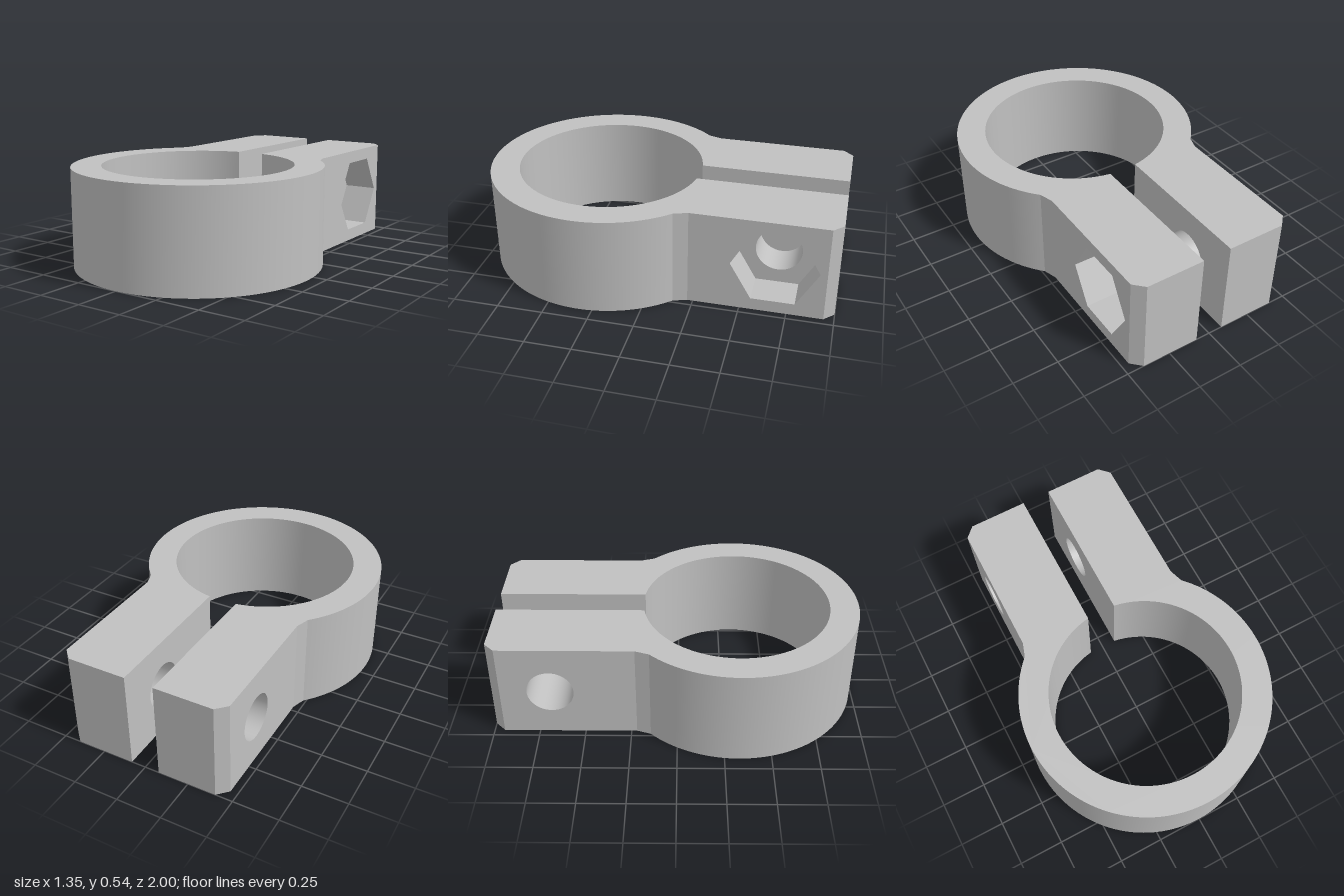
import * as THREE from 'three';

const H = 0.54;                                  // clamp height
const RING = { s: -0.325, outer: 0.675, inner: 0.515 };
const BOLT = { s: 0.675, h: H / 2, r: 0.125, hex: 0.233 };
const GAP = 0.08, SIDE = 0.46, FLOOR = 0.27;     // x of arm faces and nut pocket floor

// Plan coordinates are (x, s), where s points to the back (s = -z).
const v = (x, s) => new THREE.Vector2(x, s);
const mirror = pts => pts.map(p => v(-p.x, p.y)).reverse();

// Ring arc around the front, from x = -endX to x = +endX
function ringArc(r, endX, n) {
  const a = Math.acos(endX / r);
  const pts = [];
  for (let i = 0; i <= n; i++) {
    const t = Math.PI - a + (Math.PI + 2 * a) * i / n;
    pts.push(v(r * Math.cos(t), RING.s + r * Math.sin(t)));
  }
  return pts;
}

function polygon(r, n) {
  return Array.from({ length: n }, (_, i) => {
    const t = i / n * Math.PI * 2;
    return v(BOLT.s + r * Math.cos(t), BOLT.h + r * Math.sin(t));
  });
}

// Turns a surface inside out
function flip(g) {
  const idx = g.index.array;
  for (let i = 0; i < idx.length; i += 3) [idx[i], idx[i + 1]] = [idx[i + 1], idx[i]];
  g.computeVertexNormals();
  return g;
}

// Upright wall along a plan path, smooth along its length
function wall(pts) {
  const pos = [], index = [];
  pts.forEach((p, i) => {
    pos.push(p.x, 0, -p.y, p.x, H, -p.y);
    if (i) {
      const a = 2 * i - 2;
      index.push(a, a + 2, a + 3, a, a + 3, a + 1);
    }
  });
  const g = new THREE.BufferGeometry();
  g.setAttribute('position', new THREE.Float32BufferAttribute(pos, 3));
  g.setIndex(index);
  g.computeVertexNormals();
  return g;
}

// Flat face at a given x, pierced by a hole and facing +x or -x
function piercedFace(x, outline, hole, dir) {
  const shape = new THREE.Shape(outline);
  shape.holes.push(new THREE.Path(hole));
  const g = new THREE.ShapeGeometry(shape).rotateY(Math.PI / 2).translate(x, 0, 0);
  return dir < 0 ? flip(g) : g;
}

// Inside surface of a bore running along x
function bore(r, n, x0, x1) {
  const g = new THREE.CylinderGeometry(r, r, x1 - x0, n, 1, true)
    .rotateZ(Math.PI / 2).translate((x0 + x1) / 2, BOLT.h, -BOLT.s);
  const normals = g.attributes.normal;
  flip(g);
  if (n > 6) {
    // keep the seam of a round bore smooth
    for (let i = 0; i < normals.count; i++) {
      const p = g.attributes.position;
      g.attributes.normal.setXYZ(i, 0, (BOLT.h - p.getY(i)) / r, (-BOLT.s - p.getZ(i)) / r);
    }
    return g;
  }
  const flat = g.toNonIndexed();
  flat.computeVertexNormals();
  return flat;
}

export function createModel() {
  const group = new THREE.Group();
  const metal = new THREE.MeshStandardMaterial({ color: 0xc0c0c0 });
  metal.name = 'grey metal';
  const add = (name, g) => {
    const m = new THREE.Mesh(g, metal);
    m.name = name;
    group.add(m);
  };

  // Plan outline pieces
  const outer = ringArc(RING.outer, 0.485, 96);
  const inner = ringArc(RING.inner, GAP, 96).reverse();
  const neck = [outer[outer.length - 1], v(SIDE, 0.22)];
  const chamfer = [v(SIDE, 0.945), v(0.405, 1)];
  const tip = [v(0.405, 1), v(GAP, 1)];
  const half = [neck[1], ...chamfer, tip[1]];

  // Top and bottom
  const plan = new THREE.Shape([...outer, ...half, ...inner, ...mirror(half)]);
  const cap = () => new THREE.ShapeGeometry(plan).rotateX(-Math.PI / 2);
  add('topFace', cap().translate(0, H, 0));
  add('bottomFace', flip(cap()));

  // Ring walls and arm ends
  add('ringOutside', wall(outer));
  add('ringInside', wall(inner));
  for (const [name, path] of Object.entries({ neck, armChamfer: chamfer, armTip: tip })) {
    add(name + 'Left', wall(path));
    add(name + 'Right', wall(mirror(path)));
  }

  // Arm side faces with bolt hole and nut pocket
  const rect = (s0, s1) => [v(s0, 0), v(s1, 0), v(s1, H), v(s0, H)];
  const round = polygon(BOLT.r, 48), hex = polygon(BOLT.hex, 6);
  const gapFace = rect(inner[0].y, 1), sideFace = rect(0.22, 0.945);
  add('leftArmOutside', piercedFace(SIDE, sideFace, hex, 1));
  add('nutPocketFloor', piercedFace(FLOOR, hex, round, 1));
  add('leftArmInside', piercedFace(GAP, gapFace, round, -1));
  add('rightArmInside', piercedFace(-GAP, gapFace, round, 1));
  add('rightArmOutside', piercedFace(-SIDE, sideFace, round, -1));
  add('nutPocket', bore(BOLT.hex, 6, FLOOR, SIDE));
  add('leftBoltHole', bore(BOLT.r, 48, GAP, FLOOR));
  add('rightBoltHole', bore(BOLT.r, 48, -SIDE, -GAP));

  return group;
}
